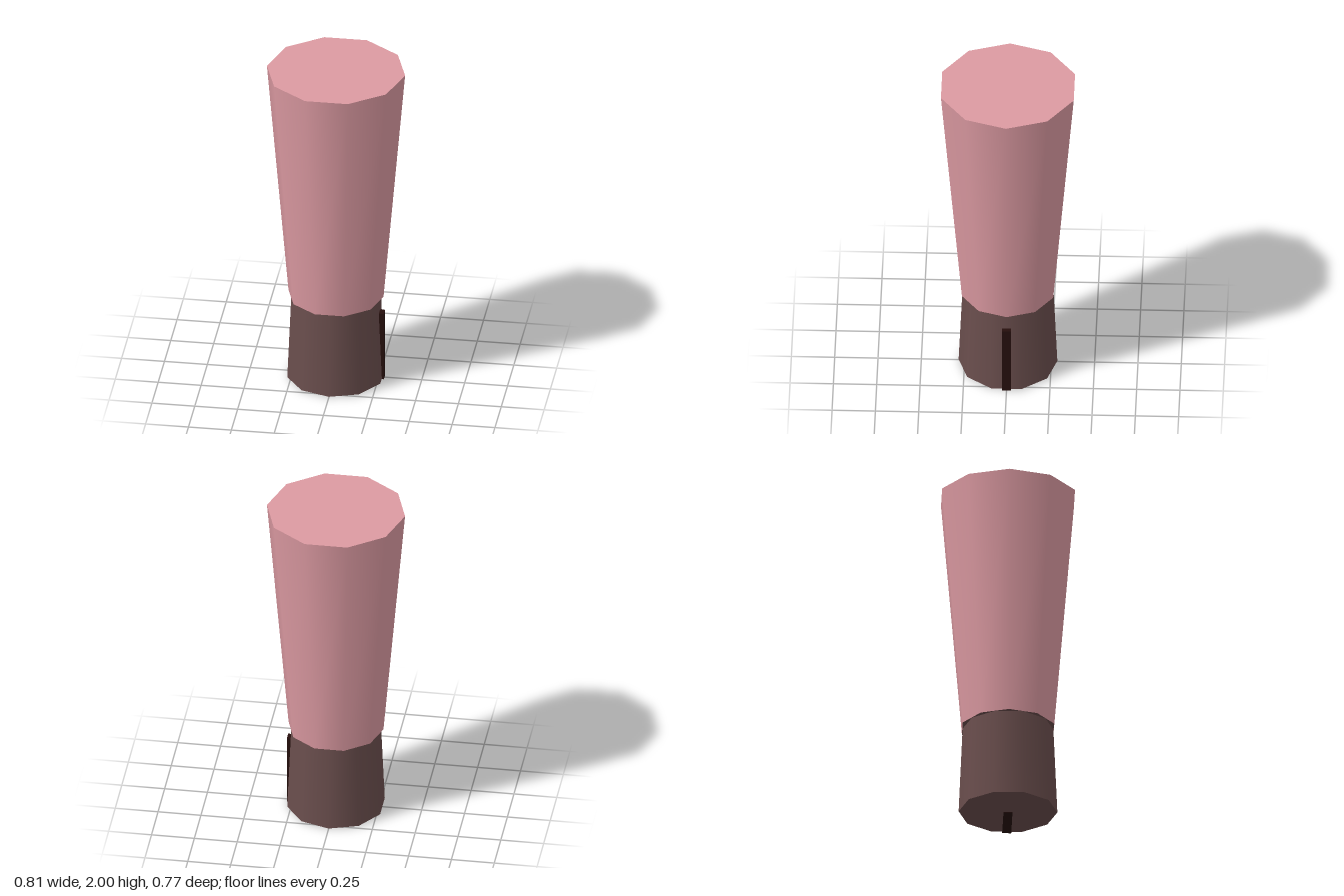
import * as THREE from 'three';

export function createModel() {
  const model = new THREE.Group();
  const pink = new THREE.MeshStandardMaterial({ name: 'dusty pink', color: 0xdc9aa2 });
  const brown = new THREE.MeshStandardMaterial({ name: 'dark brown', color: 0x6a4e4d });
  const black = new THREE.MeshStandardMaterial({ name: 'near black', color: 0x260f0d });

  const add = (name, geometry, material, y) => {
    const mesh = new THREE.Mesh(geometry, material);
    mesh.name = name;
    mesh.position.y = y;
    model.add(mesh);
    return mesh;
  };

  // Tapered ten-sided upper body: pink side and top, brown underside
  const upper = new THREE.CylinderGeometry(0.403, 0.277, 1.47, 10);
  upper.rotateY(Math.PI / 2);
  add('upperBody', upper, [pink, pink, brown], 1.265);

  // Narrower base, its corners half a step away from those above
  add('base', new THREE.CylinderGeometry(0.262, 0.285, 0.526, 10), brown, 0.267);

  // Upright fin set into the base, showing on the left side and underneath
  const fin = add('fin', new THREE.BoxGeometry(0.283, 0.43, 0.052), black, 0.215);
  fin.position.x = 0.1415;

  return model;
}
